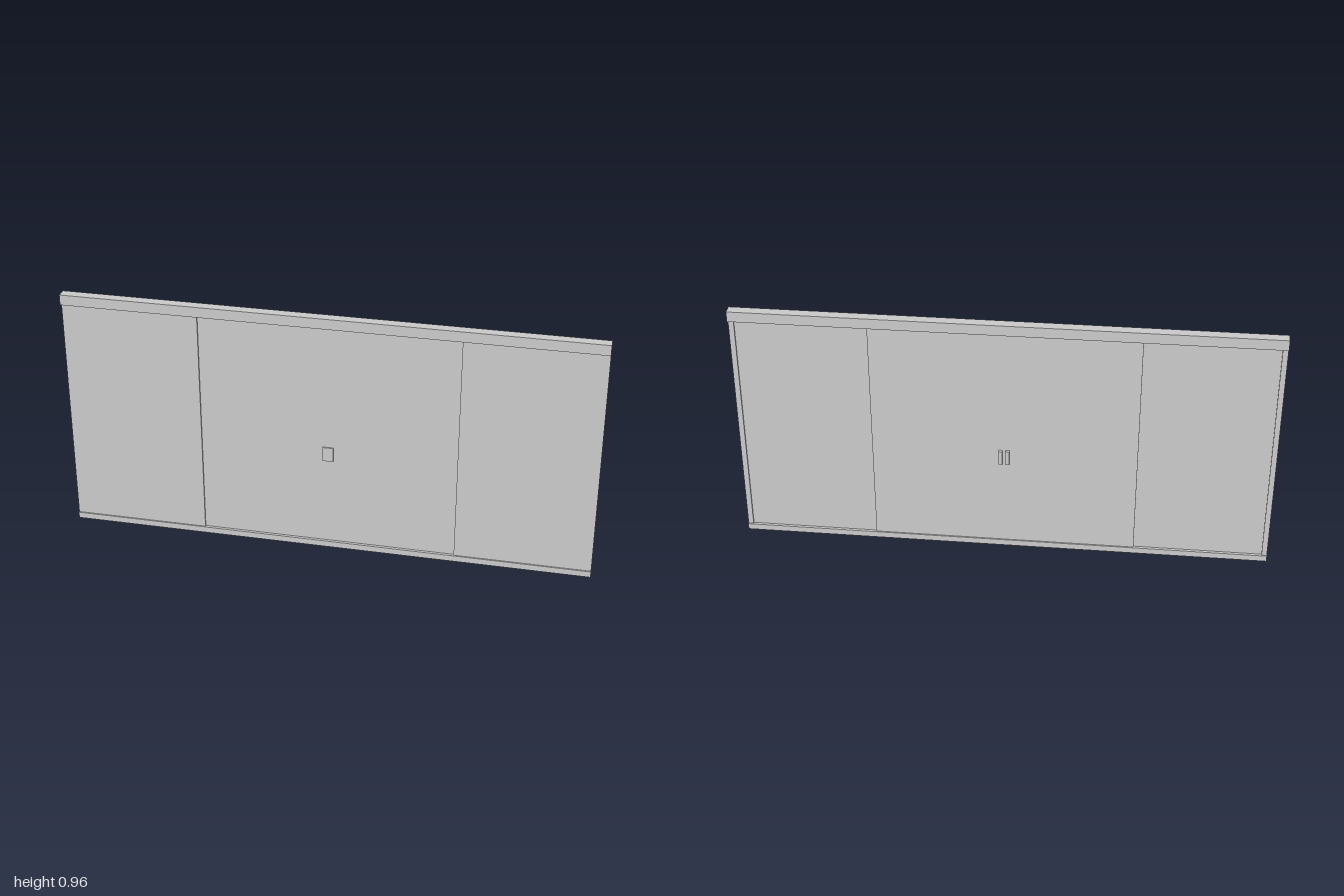
import * as THREE from 'three';

export function createModel() {
  const group = new THREE.Group();
  const material = new THREE.MeshStandardMaterial({ color: 0xcccccc });

  // Box given by its minimum and maximum along each axis
  const box = (name, [x0, x1], [y0, y1], [z0, z1]) => {
    const mesh = new THREE.Mesh(new THREE.BoxGeometry(x1 - x0, y1 - y0, z1 - z0), material);
    mesh.position.set((x0 + x1) / 2, (y0 + y1) / 2, (z0 + z1) / 2);
    mesh.name = name;
    group.add(mesh);
  };
  // Same box on both sides of x = 0
  const pair = (name, [x0, x1], y, z) => {
    box(name + 'Left', [x0, x1], y, z);
    box(name + 'Right', [-x1, -x0], y, z);
  };

  const opening = [0.024, 0.922];

  // Header and floor track
  box('headerRail', [-1, 1], [0.922, 0.962], [-0.02, 0.02]);
  box('floorTrack', [-1, 1], [0, 0.024], [-0.011, 0.011]);

  // End posts, fixed side panels in front, sliding doors behind
  pair('jamb', [0.98, 1], opening, [-0.006, 0.006]);
  pair('fixedPanel', [0.485, 0.98], opening, [0, 0.006]);
  pair('slidingDoor', [0, 0.495], opening, [-0.006, 0]);

  // Pull handles behind, flat plate in front
  pair('pullHandle', [0.006, 0.02], [0.373, 0.43], [-0.017, -0.006]);
  box('handlePlate', [-0.02, 0.02], [0.373, 0.43], [0, 0.005]);

  return group;
}
